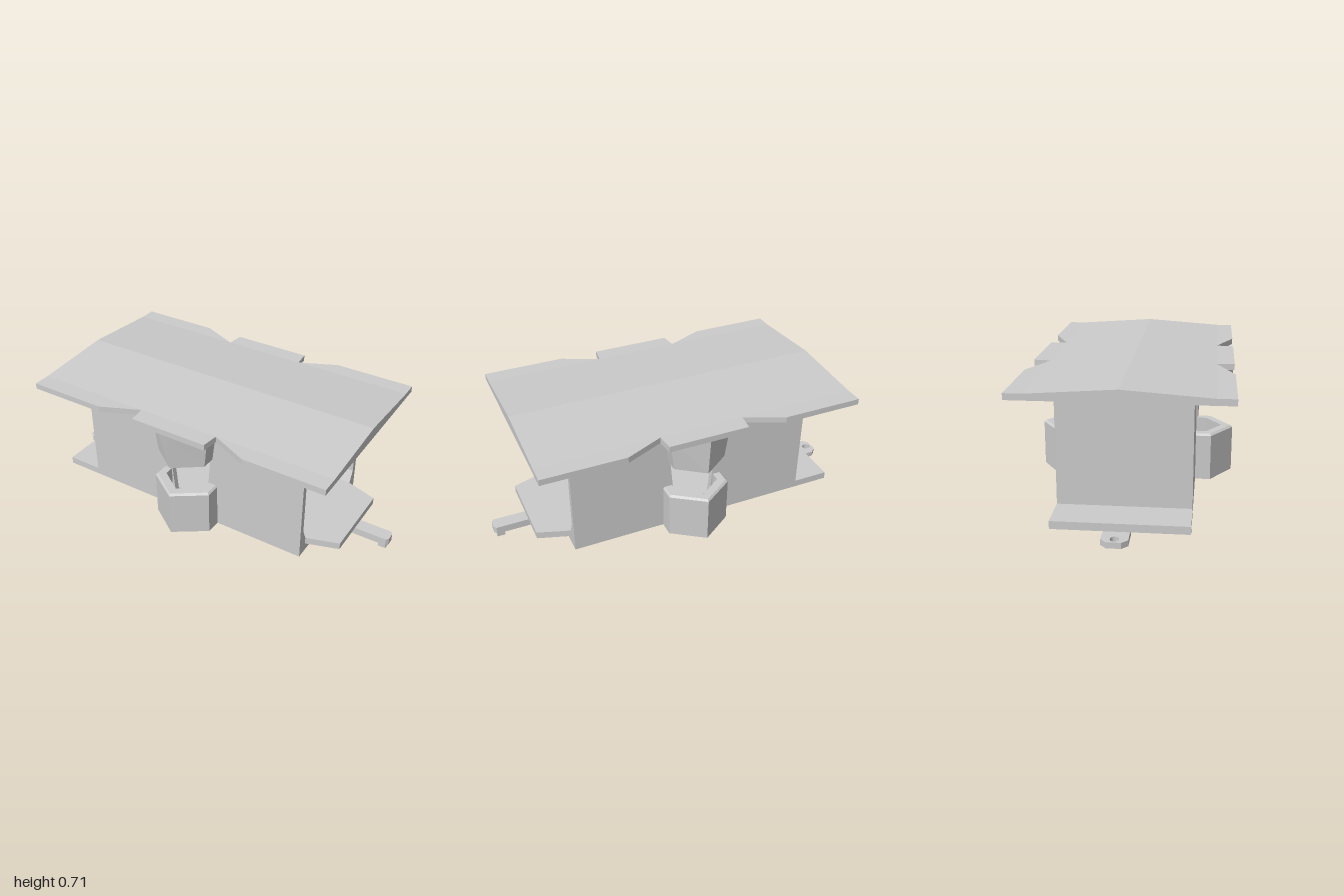
import * as THREE from 'three';

const material = new THREE.MeshStandardMaterial({ color: 0xcccccc, flatShading: true, side: THREE.DoubleSide });

function add(parent, name, geometry) {
  const mesh = new THREE.Mesh(geometry, material);
  mesh.name = name;
  parent.add(mesh);
  return mesh;
}

// Box given by its minimum and maximum corners
function block(parent, name, [x0, y0, z0], [x1, y1, z1]) {
  const g = new THREE.BoxGeometry(x1 - x0, y1 - y0, z1 - z0);
  g.translate((x0 + x1) / 2, (y0 + y1) / 2, (z0 + z1) / 2);
  return add(parent, name, g);
}

const shapeOf = (pts) => new THREE.Shape(pts.map(([a, b]) => new THREE.Vector2(a, b)));
const extrude = (shape, depth) => new THREE.ExtrudeGeometry(shape, { depth, bevelEnabled: false, curveSegments: 8 });

// Horizontal plate from an outline in (x, z)
function plate(parent, name, outline, y0, y1, hole) {
  const shape = shapeOf(outline.map(([x, z]) => [x, -z]));
  if (hole) shape.holes.push(hole);
  const g = extrude(shape, y1 - y0);
  g.rotateX(-Math.PI / 2);
  g.translate(0, y0, 0);
  return add(parent, name, g);
}

// Profile in (z, y) swept along x
function sweepX(parent, name, profile, x0, x1) {
  const g = extrude(shapeOf(profile.map(([z, y]) => [-z, y])), x1 - x0);
  g.rotateY(Math.PI / 2);
  g.translate(x0, 0, 0);
  return add(parent, name, g);
}

// Pointed bay outline at one height: half width, shoulder depth, tip depth
const bayLoop = (y, half, shoulder, tip) => [
  [-half, y, 0.33], [-half, y, shoulder], [0, y, tip], [half, y, shoulder], [half, y, 0.33],
];

// Skin joining open loops of equal length
function loft(loops) {
  const n = loops[0].length;
  const index = [];
  for (let i = 0; i < loops.length - 1; i++) {
    for (let j = 0; j < n - 1; j++) {
      const a = i * n + j, b = a + n;
      index.push(a, a + 1, b, a + 1, b + 1, b);
    }
  }
  const g = new THREE.BufferGeometry();
  g.setAttribute('position', new THREE.Float32BufferAttribute(loops.flat(2), 3));
  g.setIndex(index);
  const flat = g.toNonIndexed();
  flat.computeVertexNormals();
  return flat;
}

export function createModel() {
  const model = new THREE.Group();
  model.name = 'wagon';
  const cx = -0.03; // centre of the side bays

  // Floor, closed end and step plate at the open end
  block(model, 'floor', [-0.89, 0.03, -0.33], [0.64, 0.07, 0.33]);
  block(model, 'endWall', [-0.69, 0.07, -0.3], [-0.66, 0.65, 0.3]);
  plate(model, 'innerFloor', [[-0.66, -0.27], [0.64, -0.27], [0.81, -0.215], [0.81, 0.215], [0.64, 0.27], [-0.66, 0.27]], 0.075, 0.113);

  for (const s of [1, -1]) {
    // Side wall with tapered window
    const wall = shapeOf([[-0.69, 0.03], [0.64, 0.03], [0.64, 0.65], [-0.69, 0.65]]);
    wall.holes.push(shapeOf([[cx - 0.095, 0.07], [cx - 0.15, 0.645], [cx + 0.15, 0.645], [cx + 0.095, 0.07]]));
    const g = extrude(wall, 0.03);
    g.translate(0, 0, s > 0 ? 0.3 : -0.33);
    add(model, 'sideWall', g);

    // Sloping fillets at the foot of the wall, either side of the window
    const fillet = [[0.3 * s, 0.07], [0.3 * s, 0.18], [0.27 * s, 0.113], [0.27 * s, 0.07]];
    sweepX(model, 'wallFillet', fillet, -0.66, cx - 0.13);
    sweepX(model, 'wallFillet', fillet, cx + 0.13, 0.64);

    // Pointed bay with a hollow centre and the tapered hood above it
    const bay = new THREE.Group();
    bay.name = 'sideBay';
    bay.position.x = cx;
    bay.rotation.y = s > 0 ? 0 : Math.PI;
    add(bay, 'bayTub', loft([
      bayLoop(0.03, 0.17, 0.33, 0.33),
      bayLoop(0.03, 0.17, 0.41, 0.525),
      bayLoop(0.275, 0.17, 0.41, 0.525),
      bayLoop(0.285, 0.16, 0.403, 0.513),
      bayLoop(0.285, 0.12, 0.38, 0.465),
      bayLoop(0.07, 0.12, 0.38, 0.465),
      bayLoop(0.07, 0.12, 0.33, 0.33),
    ]));
    add(bay, 'bayHood', loft([
      bayLoop(0.65, 0.155, 0.4, 0.505),
      bayLoop(0.447, 0.13, 0.395, 0.49),
      bayLoop(0.447, 0.143, 0.405, 0.508),
      bayLoop(0.65, 0.17, 0.41, 0.523),
    ]));
    model.add(bay);

    // Flat roof edges with notches beside the bay
    const edges = [
      [[-0.89, 0.43], [-0.25, 0.43], [-0.455, 0.52], [-0.89, 0.52]],
      [[-0.25, 0.43], [0.2, 0.43], [0.19, 0.52], [-0.24, 0.52]],
      [[0.2, 0.43], [0.835, 0.43], [0.835, 0.52], [0.4, 0.52]],
    ];
    for (const e of edges) plate(model, 'roofEdge', e.map(([x, z]) => [x, z * s]), 0.648, 0.68);
  }

  // Shallow pitched roof
  sweepX(model, 'roof', [[-0.43, 0.648], [0.43, 0.648], [0.43, 0.68], [0, 0.71], [-0.43, 0.68]], -0.89, 0.835);

  // Coupling eye at the closed end
  const zc = -0.014;
  const eye = new THREE.Path();
  eye.absellipse(-0.965, -zc, 0.025, 0.021, 0, Math.PI * 2);
  plate(model, 'couplingEye', [
    [-0.86, zc - 0.064], [-0.86, zc + 0.064], [-0.97, zc + 0.064],
    [-1, zc + 0.035], [-1, zc - 0.035], [-0.97, zc - 0.064],
  ], 0, 0.03, eye);

  // Coupling bar and hook at the open end
  plate(model, 'couplingBar', [
    [0.765, zc - 0.037], [0.985, zc - 0.037], [0.997, zc - 0.02],
    [0.997, zc + 0.02], [0.985, zc + 0.037], [0.765, zc + 0.037],
  ], 0.036, 0.076);
  block(model, 'couplingHook', [0.94, 0, zc - 0.018], [0.982, 0.037, zc + 0.018]);

  return model;
}
